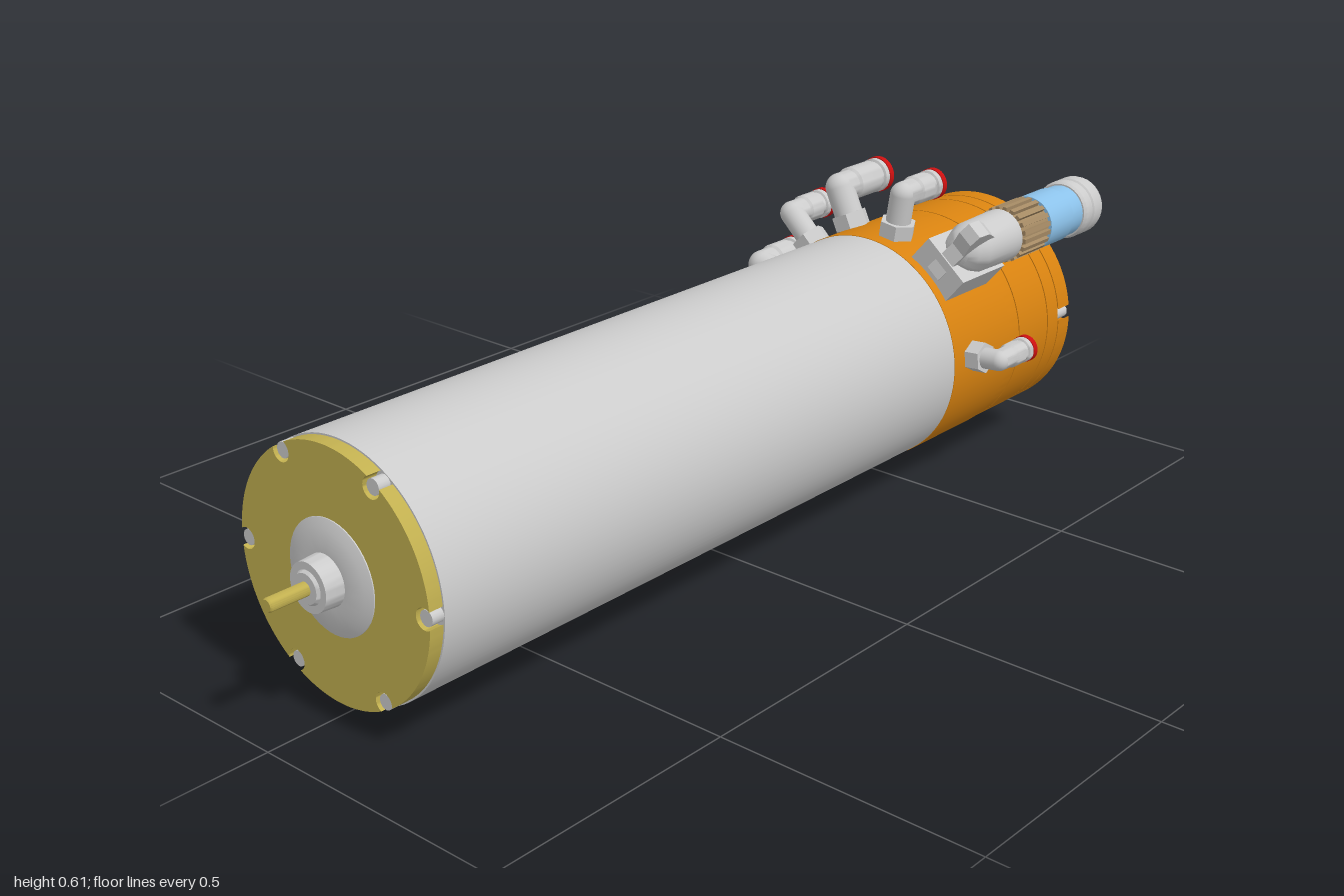
import * as THREE from 'three';
import { toCreasedNormals } from 'three/addons/utils/BufferGeometryUtils.js';

const CY = 0.267, CZ = 0.027, R = 0.226, BOLT_R = 0.211;
const mat = (color) => new THREE.MeshStandardMaterial({ color });
const grey = mat(0xcccccc), orange = mat(0xd98310), brass = mat(0xc2b050), red = mat(0xcc1010);
const brown = mat(0xa58a64), blue = mat(0x8cc2ea);

function add(parent, name, geometry, material = grey) {
  const mesh = new THREE.Mesh(geometry, material);
  mesh.name = name;
  parent.add(mesh);
  return mesh;
}

// Solid of revolution about the x axis; points are [x, radius]
function turned(points, segments = 32) {
  const g = new THREE.LatheGeometry(points.map(([x, r]) => new THREE.Vector2(r, x)), segments);
  return toCreasedNormals(g.rotateZ(-Math.PI / 2), 0.6);
}

// Plain cylinder along x from x0 to x1
const rod = (x0, x1, r, segments = 32) =>
  new THREE.CylinderGeometry(r, r, x1 - x0, segments).rotateZ(-Math.PI / 2).translate((x0 + x1) / 2, 0, 0);

// Group whose local y points radially away from the main axis at angle phi
function radial(parent, name, phi) {
  const g = new THREE.Group();
  g.name = name;
  g.rotation.x = phi;
  parent.add(g);
  return g;
}

// Disc with open round pockets cut into its rim at the given angles
function notchedDisc(x0, x1, angles, radius = R, notch = 0.019) {
  const c = BOLT_R;
  const d = Math.acos((c * c + radius * radius - notch * notch) / (2 * c * radius));
  const t = angles.map((a) => a + Math.PI / 2).sort((a, b) => a - b);
  const shape = new THREE.Shape();
  t.forEach((a, i) => {
    const next = i + 1 < t.length ? t[i + 1] : t[0] + Math.PI * 2;
    const rel = Math.atan2(radius * Math.sin(d), radius * Math.cos(d) - c);
    shape.absarc(c * Math.cos(a), c * Math.sin(a), notch, a - rel, a + rel, true);
    shape.absarc(0, 0, radius, a + d, next - d, false);
  });
  const g = new THREE.ExtrudeGeometry(shape, { depth: x1 - x0, bevelEnabled: false, curveSegments: 14 });
  return toCreasedNormals(g.rotateY(Math.PI / 2).translate(x0, 0, 0), 0.6);
}

function bolts(parent, name, angles, x0, x1, r = 0.014) {
  for (const a of angles) {
    const g = radial(parent, name, a);
    add(g, name + 'Head', rod(x0, x1, r, 16)).position.y = BOLT_R;
  }
}

// Elbow hose fitting with a hex nut, a stem and a capped outlet towards +x
function fitting(parent, { z, y, r, x, end }) {
  const dy = y - CY, dz = z - CZ, h = Math.hypot(dy, dz);
  const g = radial(parent, 'hoseFitting', Math.atan2(dz, dy));
  const nut = r > 0.03 ? 0.037 : 0.031;
  add(g, 'fittingNut', new THREE.CylinderGeometry(nut, nut, 0.03, 6).toNonIndexed()).position.set(x, 0.242, 0);
  g.children[0].geometry.computeVertexNormals();
  const s = r * 0.8;
  add(g, 'fittingStem', new THREE.CylinderGeometry(s, s, h - 0.21, 24)).position.set(x, (h + 0.21) / 2, 0);
  add(g, 'fittingElbow', new THREE.SphereGeometry(s, 24, 16)).position.set(x, h, 0);
  const tube = add(g, 'fittingOutlet', turned([
    [x, 0], [x, s], [x + 0.03, s], [x + 0.035, r * 0.92], [end - 0.035, r * 0.92],
    [end - 0.033, r * 0.82], [end - 0.025, r * 0.82], [end - 0.023, r * 0.95], [end - 0.012, r * 0.95], [end - 0.012, 0],
  ]));
  const cap = add(g, 'fittingCap', rod(end - 0.012, end, r), red);
  tube.position.y = cap.position.y = h;
}

// Angled electrical connector lying along the housing
function connector(parent, { z, y, ribsEnd, sleeveEnd, end, sleeve }) {
  const dy = y - CY, dz = z - CZ, h = Math.hypot(dy, dz);
  const g = radial(parent, 'connector', Math.atan2(dz, dy));
  add(g, 'connectorBase', new THREE.BoxGeometry(0.14, 0.085, 0.11)).position.set(0.57, 0.2375, 0);
  // Tapering latch fin behind the elbow
  const fin = new THREE.Shape([
    [0.495, 0.24], [0.66, 0.25], [0.66, 0.342], [0.58, 0.345], [0.535, 0.372], [0.5, 0.374], [0.493, 0.35], [0.51, 0.31],
  ].map(([a, b]) => new THREE.Vector2(a, b)));
  add(g, 'connectorFin', new THREE.ExtrudeGeometry(fin, { depth: 0.034, bevelEnabled: false }).translate(0, 0, -0.017));
  const line = new THREE.Group();
  line.name = 'connectorBarrel';
  line.position.y = h;
  g.add(line);
  add(line, 'connectorElbow', turned([[0.515, 0], [0.52, 0.025], [0.535, 0.04], [0.56, 0.05], [0.645, 0.052], [0.665, 0.052], [0.665, 0]]));
  add(line, 'grip', rod(0.66, ribsEnd, 0.048), brown);
  for (let i = 0; i < 20; i++) {
    const rib = add(line, 'gripRib', new THREE.BoxGeometry(ribsEnd - 0.675, 0.012, 0.009).translate((ribsEnd + 0.665) / 2, 0.05, 0), brown);
    rib.rotation.x = (i / 20) * Math.PI * 2;
  }
  add(line, 'sleeve', turned([
    [ribsEnd, 0], [ribsEnd, 0.055], [sleeveEnd - 0.04, 0.055], [sleeveEnd - 0.038, 0.052], [sleeveEnd, 0.052], [sleeveEnd, 0],
  ]), sleeve);
  const m = sleeveEnd + (end - sleeveEnd) * 0.3;
  add(line, 'endCap', turned([
    [sleeveEnd, 0], [sleeveEnd, 0.055], [sleeveEnd + 0.006, 0.059], [m, 0.059], [m + 0.003, 0.056], [m + 0.008, 0.056],
    [m + 0.011, 0.059], [end - 0.018, 0.059], [end - 0.006, 0.055], [end, 0.046], [end, 0],
  ]));
}

export function createModel() {
  const model = new THREE.Group();
  model.name = 'motorSpindle';
  const axis = new THREE.Group();
  axis.name = 'spindle';
  axis.position.set(0, CY, CZ);
  model.add(axis);

  // Main barrel, rear plate, hub and shaft
  const six = [0, 1, 2, 3, 4, 5].map((i) => (i * Math.PI) / 3);
  const half = six.map((a) => a + Math.PI / 6);
  add(axis, 'barrel', rod(-0.845, 0.48, R, 96));
  add(axis, 'rearPlate', notchedDisc(-0.872, -0.845, half, 0.223), brass);
  bolts(axis, 'rearBolt', half, -0.868, -0.84);
  add(axis, 'hub', turned([
    [-0.925, 0], [-0.925, 0.026], [-0.92, 0.03], [-0.92, 0.043], [-0.885, 0.045], [-0.885, 0.06],
    [-0.88, 0.085], [-0.874, 0.1], [-0.865, 0.1],
  ], 48));
  add(axis, 'shaft', turned([[-1, 0], [-1, 0.01], [-0.997, 0.012], [-0.92, 0.012]], 24), brass);

  // Orange front housing rings, separated by shallow grooves
  const polar = [[-58, 100], [58, 100], [-115, 10], [116, 0], [-66, -95], [58, -100]];
  const front = polar.map(([right, up]) => Math.atan2(-right, up));
  add(axis, 'housing', rod(0.48, 0.672, R + 0.001, 96), orange);
  add(axis, 'middleRing', notchedDisc(0.672, 0.704, half), orange);
  add(axis, 'grooveCore', rod(0.7, 0.86, R - 0.006, 96), orange);
  add(axis, 'bearingRing', rod(0.707, 0.808, R, 96), orange);
  add(axis, 'spacerRing', rod(0.811, 0.848, R, 96), orange);
  add(axis, 'frontPlate', notchedDisc(0.851, 0.89, front), orange);
  bolts(axis, 'middleBolt', half, 0.674, 0.7);
  bolts(axis, 'frontBolt', front, 0.85, 0.884);

  // Hexagonal drive end
  const hex = rod(0.88, 0.965, 0.03, 6).toNonIndexed();
  hex.computeVertexNormals();
  add(axis, 'hexEnd', hex);

  // Hose fittings around the housing
  [
    { z: 0.073, y: 0.577, r: 0.031, x: 0.54, end: 0.645 },
    { z: -0.107, y: 0.549, r: 0.036, x: 0.575, end: 0.71 },
    { z: -0.2, y: 0.484, r: 0.031, x: 0.54, end: 0.645 },
    { z: -0.277, y: 0.358, r: 0.036, x: 0.54, end: 0.655 },
    { z: -0.133, y: 0.028, r: 0.026, x: 0.54, end: 0.635 },
    { z: 0.314, y: 0.292, r: 0.026, x: 0.54, end: 0.635 },
  ].forEach((f) => fitting(axis, f));

  // Two electrical connectors
  connector(axis, { z: 0.22, y: 0.495, ribsEnd: 0.765, sleeveEnd: 0.885, end: 0.96, sleeve: blue });
  connector(axis, { z: -0.26, y: 0.193, ribsEnd: 0.815, sleeveEnd: 0.9, end: 1, sleeve: brown });
  return model;
}
